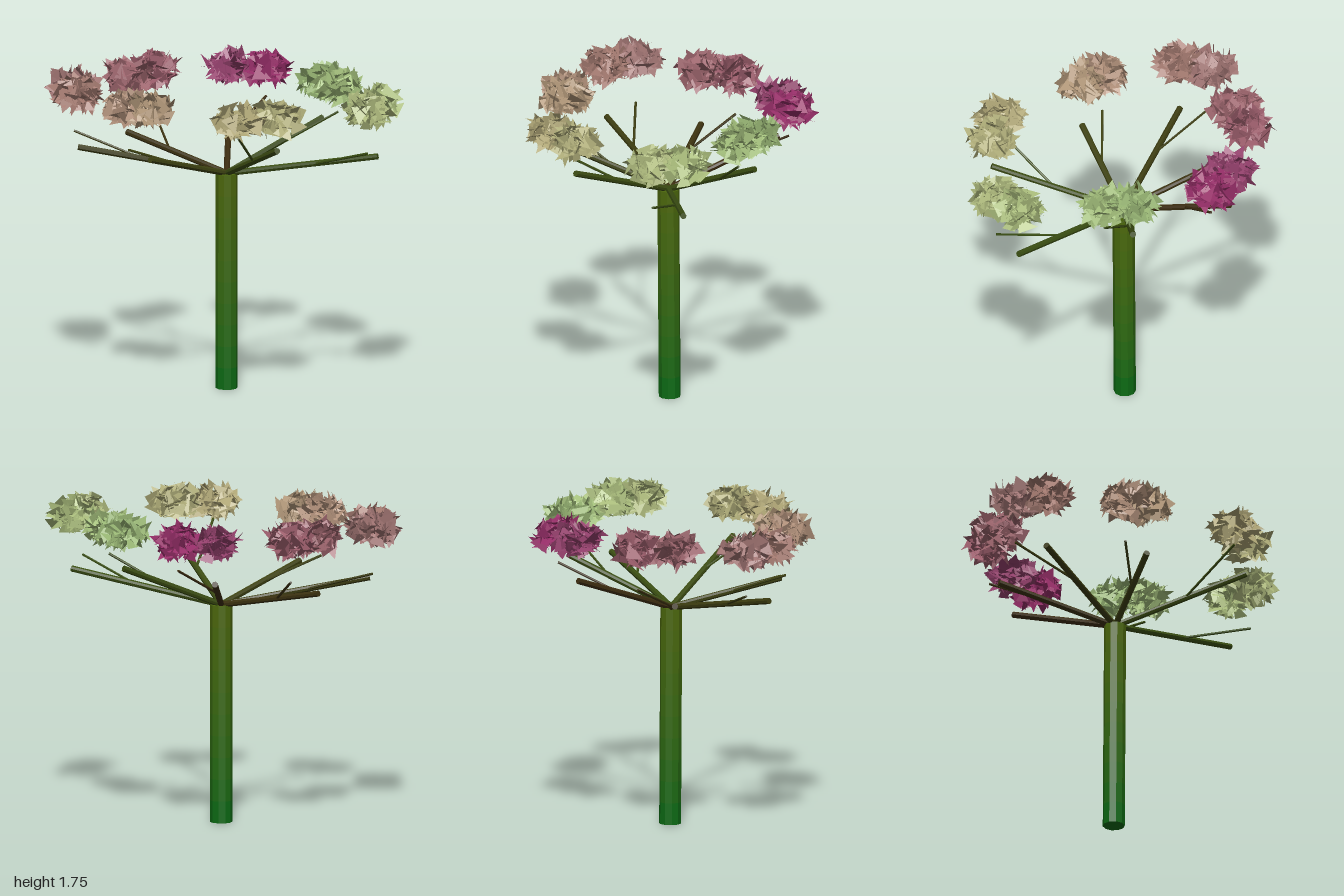
import * as THREE from 'three';

// Small seeded random generator
function seeded(seed) {
  let s = seed;
  return () => {
    s = (s * 1664525 + 1013904223) % 4294967296;
    return s / 4294967296;
  };
}

const V = (p) => new THREE.Vector3(...p);

// Straight rod between two points
function rod(name, a, b, radius, sides, color, open = false) {
  const d = b.clone().sub(a);
  const geo = new THREE.CylinderGeometry(radius, radius, d.length(), sides, 1, open);
  const mesh = new THREE.Mesh(geo, new THREE.MeshStandardMaterial({ color, flatShading: true }));
  mesh.position.copy(a).add(b).multiplyScalar(0.5);
  mesh.quaternion.setFromUnitVectors(new THREE.Vector3(0, 1, 0), d.normalize());
  mesh.name = name;
  return mesh;
}

// Flattened ball of loose, randomly turned triangular leaves
function leafCluster(name, x, z, color, rand) {
  const pos = [];
  const unit = () => {
    const y = rand() * 2 - 1, t = rand() * Math.PI * 2, h = Math.sqrt(1 - y * y);
    return new THREE.Vector3(h * Math.cos(t), y, h * Math.sin(t));
  };
  for (let i = 0; i < 130; i++) {
    const c = unit().multiplyScalar(Math.pow(rand(), 0.4)).multiply(V([0.12, 0.075, 0.12]));
    // Three corners about 120 degrees apart in a random plane keep each leaf broad
    const u = unit(), w = unit().cross(u).normalize(), turn = rand() * Math.PI * 2;
    for (let k = 0; k < 3; k++) {
      const a = turn + (k * 2 + rand() * 0.8) * Math.PI / 3, r = 0.045 + rand() * 0.03;
      const p = c.clone().addScaledVector(u, r * Math.cos(a)).addScaledVector(w, r * Math.sin(a));
      // Leaves stay inside the flat layer and within the cluster's reach
      const reach = Math.min(1, 0.168 / Math.hypot(p.x, p.z));
      pos.push(p.x * reach, THREE.MathUtils.clamp(p.y, -0.112, 0.112), p.z * reach);
    }
  }
  const geo = new THREE.BufferGeometry();
  geo.setAttribute('position', new THREE.Float32BufferAttribute(pos, 3));
  geo.computeVertexNormals();
  const mesh = new THREE.Mesh(geo, new THREE.MeshStandardMaterial({
    color, flatShading: true, side: THREE.DoubleSide,
  }));
  mesh.position.set(x, 1.637, z);
  mesh.name = name;
  return mesh;
}

export function createModel() {
  const tree = new THREE.Group();
  tree.name = 'tree';
  const rand = seeded(7);

  // Trunk, in stacked bands that fade from green to olive
  const trunk = new THREE.Group();
  trunk.name = 'trunk';
  const foot = V([-0.005, 0, -0.03]), crown = V([-0.003, 1.19, -0.022]);
  const low = new THREE.Color(0x0c6a14), high = new THREE.Color(0x4c680c);
  const bands = 10;
  for (let i = 0; i < bands; i++) {
    trunk.add(rod('trunkBand',
      foot.clone().lerp(crown, i / bands), foot.clone().lerp(crown, (i + 1) / bands),
      0.06, 10, low.clone().lerp(high, i / (bands - 1)), i > 0 && i < bands - 1));
  }
  tree.add(trunk);

  // Each limb: branch tip, side twig start and tip, bark colour, leaf colours
  const limbs = [
    { tip: [0.85, 1.34, 0.045], fork: [0.49, 1.275, 0.02], twig: [0.83, 1.39, 0.21], bark: 0x3a4e12, leaf: [0xaabd7c, 0xaab67a] },
    { tip: [0.41, 1.46, 0.56], fork: [0.215, 1.335, 0.29], twig: [0.215, 1.54, 0.65], bark: 0x3c4c12, leaf: [0xaeac78, 0xafa676] },
    { tip: [-0.31, 1.36, 0.49], fork: [-0.17, 1.28, 0.25], twig: [-0.44, 1.4, 0.45], bark: 0x3e4212, leaf: [0xb09678, 0xae8e78] },
    { tip: [-0.78, 1.34, 0.18], fork: [-0.45, 1.275, 0.09], twig: [-0.84, 1.39, 0.01], bark: 0x3c3c10, leaf: [0xa47a70, 0xa07472] },
    { tip: [-0.62, 1.325, -0.31], fork: [-0.36, 1.27, -0.195], twig: [-0.51, 1.41, -0.48], bark: 0x3c3210, leaf: [0x9c646c, 0x9a5c6a] },
    { tip: [-0.13, 1.41, -0.65], fork: [-0.075, 1.315, -0.38], twig: [0.07, 1.48, -0.67], bark: 0x3c2c10, leaf: [0x94406c, 0x962e68] },
    { tip: [0.44, 1.435, -0.42], fork: [0.26, 1.325, -0.255], twig: [0.55, 1.495, -0.31], bark: 0x384a10, leaf: [0x98b674, 0xa4c07c] },
  ];
  for (const l of limbs) {
    const limb = new THREE.Group();
    limb.name = 'limb';
    limb.add(
      rod('branch', crown, V(l.tip), 0.017, 8, l.bark),
      rod('twig', V(l.fork), V(l.twig), 0.007, 6, l.bark),
      // Leaves float above the branch tip and the twig tip
      leafCluster('branchLeaves', l.tip[0], l.tip[2], l.leaf[0], rand),
      leafCluster('twigLeaves', l.twig[0], l.twig[2], l.leaf[1], rand),
    );
    tree.add(limb);
  }
  return tree;
}
